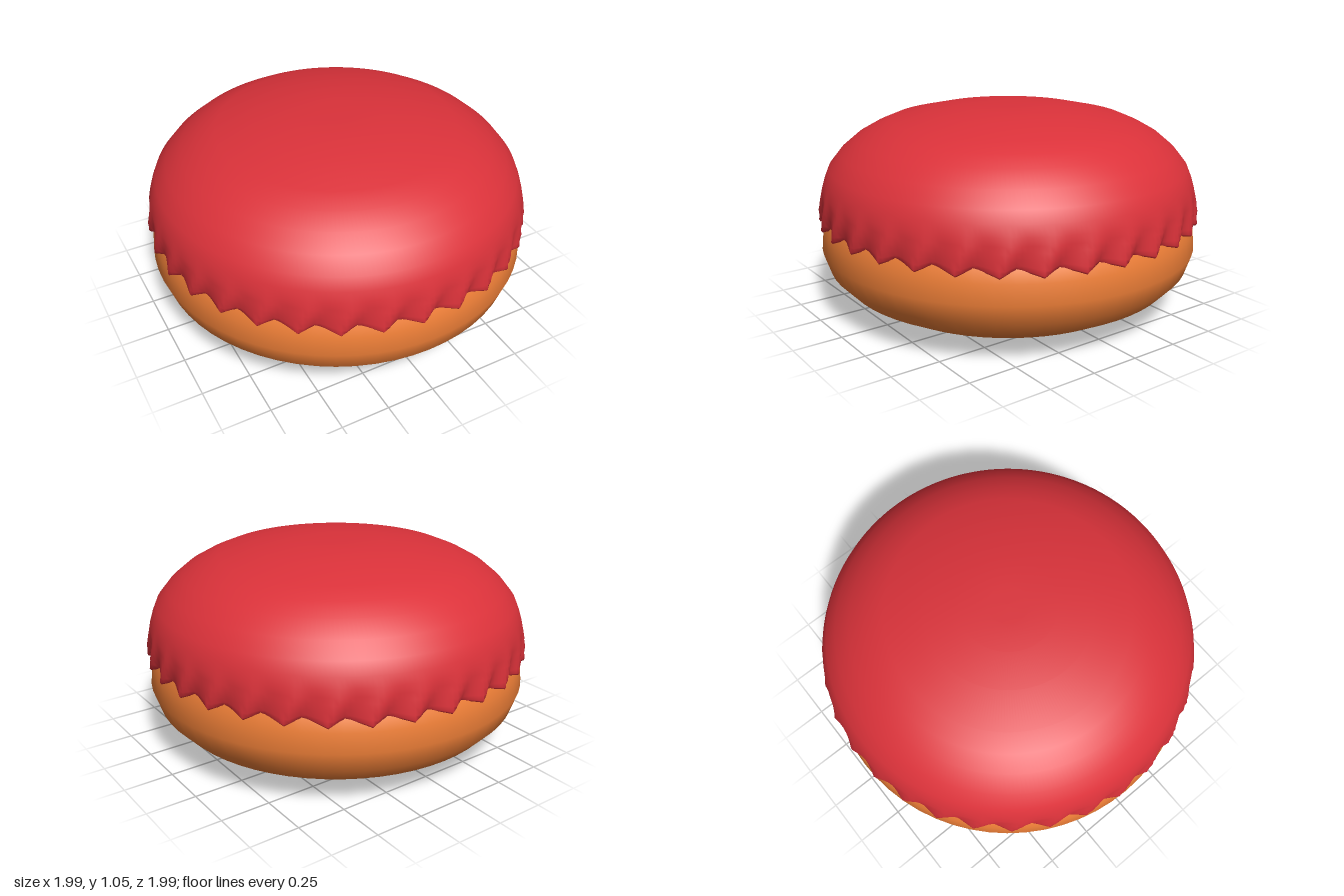
import * as THREE from 'three';
import { mergeVertices } from 'three/addons/utils/BufferGeometryUtils.js';

const TEETH = 32;
const PER_TOOTH = 8;

// Smooth surface of revolution; warp(point, angle) may reshape each vertex
function revolve(points, segments, warp) {
  const profile = points.map(([r, y]) => new THREE.Vector2(r, y));
  let geometry = new THREE.LatheGeometry(profile, segments);
  const pos = geometry.attributes.position;
  const rows = points.length;
  for (let i = 0; warp && i < pos.count; i++) {
    const angle = ((Math.floor(i / rows) % segments) / segments) * Math.PI * 2;
    const [r, y] = warp(points[i % rows], angle);
    pos.setXYZ(i, r * Math.sin(angle), y, r * Math.cos(angle));
  }
  // Weld the seam so that the shading is continuous
  geometry.deleteAttribute('uv');
  geometry.deleteAttribute('normal');
  geometry = mergeVertices(geometry, 1e-5);
  geometry.computeVertexNormals();
  return geometry;
}

// Leaning saw-tooth folds, growing from the top of the frill to its rim
function frill([r, y], angle) {
  const depth = THREE.MathUtils.clamp((0.64 - y) / 0.16, 0, 1);
  if (depth === 0) return [r, y];
  const turn = (angle / (Math.PI * 2)) * TEETH - 0.4 * (1 - depth);
  const phase = turn - Math.floor(turn);
  const wave = phase < 0.62 ? phase / 0.62 : (1 - phase) / 0.38;
  const fold = Math.pow(wave, 1.3);
  return [r + depth * (0.045 * fold - 0.015), y - 0.03 * fold * depth * depth];
}

export function createModel() {
  const group = new THREE.Group();
  const add = (name, geometry, color) => {
    const material = new THREE.MeshStandardMaterial({ color, side: THREE.DoubleSide });
    const mesh = new THREE.Mesh(geometry, material);
    mesh.name = name;
    group.add(mesh);
  };

  // Rounded lower body, closed beneath the cover
  add('base', revolve([
    [0, 0], [0.2, 0.003], [0.41, 0.008], [0.58, 0.022], [0.74, 0.068], [0.87, 0.14],
    [0.95, 0.225], [0.985, 0.33], [0.975, 0.43], [0.958, 0.5], [0.9, 0.6], [0.6, 0.68], [0, 0.7],
  ], 64), 0xf08038);

  // Domed cover with a frilled rim turned in at the bottom
  add('cover', revolve([
    [0.93, 0.5], [0.96, 0.485], [0.97, 0.492], [0.973, 0.51], [0.976, 0.54], [0.976, 0.57],
    [0.974, 0.6], [0.97, 0.64], [0.955, 0.69], [0.93, 0.75], [0.87, 0.825], [0.79, 0.892],
    [0.705, 0.94], [0.61, 0.98], [0.42, 1.022], [0.24, 1.045], [0.1, 1.048], [0, 1.048],
  ], TEETH * PER_TOOTH, frill), 0xdb323a);

  return group;
}
